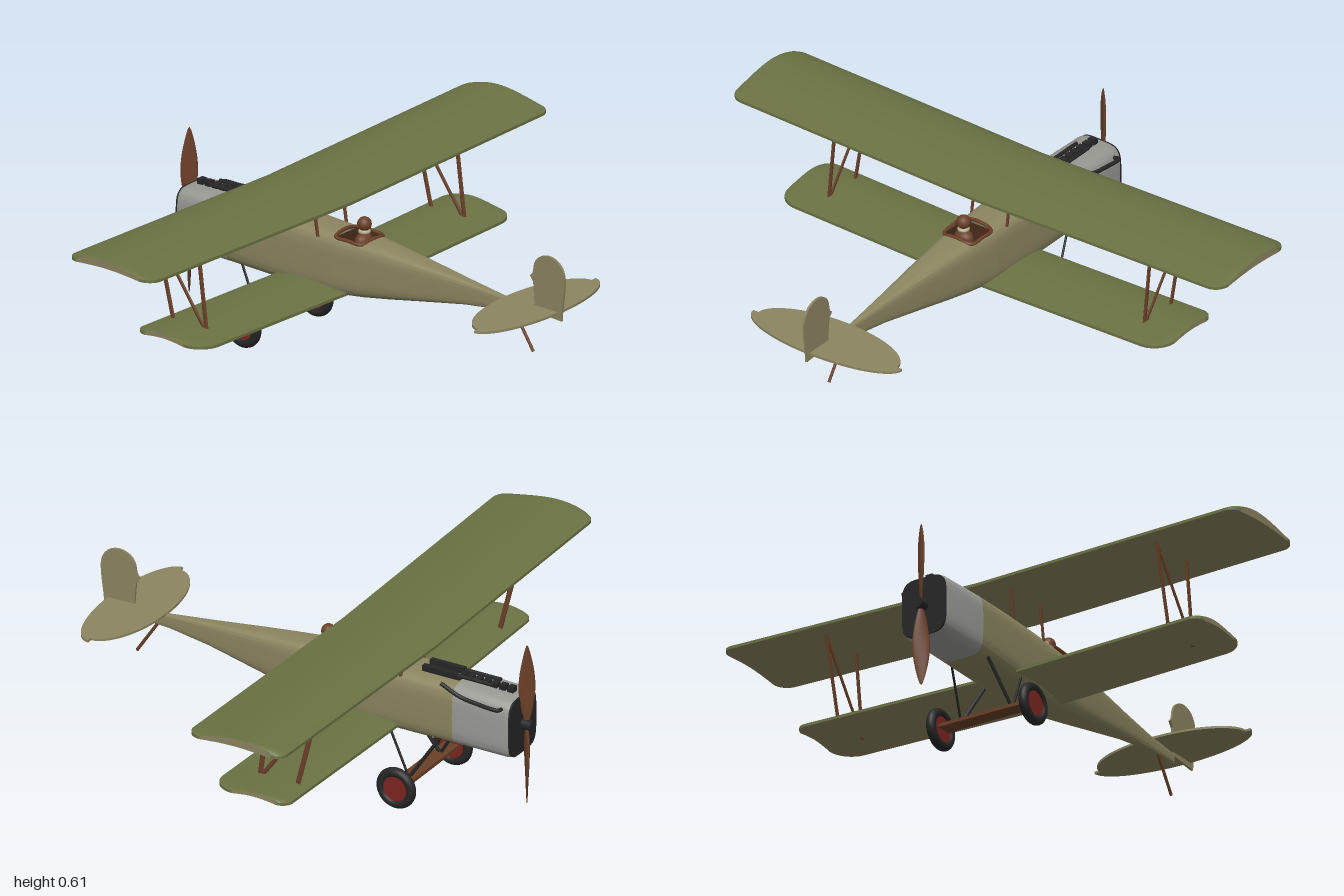
import * as THREE from 'three';
import { toCreasedNormals } from 'three/addons/utils/BufferGeometryUtils.js';

const mat = (color, side = THREE.FrontSide) => new THREE.MeshStandardMaterial({ color, side });
const OLIVE = mat(0x6b7244, THREE.DoubleSide), TAN = mat(0x8b8560, THREE.DoubleSide);
const GREY = mat(0x999994, THREE.DoubleSide), BLACK = mat(0x262626), BROWN = mat(0x6b4028);
const DARK_WOOD = mat(0x4a2c1c, THREE.BackSide), RED = mat(0x7d2420), CREAM = mat(0xb8ae90);
const V = (x, y, z) => new THREE.Vector3(x, y, z);

export function createModel() {
  const root = new THREE.Group();
  const add = (name, geo, material, x = 0, y = 0, z = 0) => {
    const m = new THREE.Mesh(geo, material);
    m.name = name;
    m.position.set(x, y, z);
    root.add(m);
    return m;
  };
  // Straight strut from a to b with separate widths across and along the model
  const rod = (name, a, b, wx, wz, material) => {
    const d = b.clone().sub(a);
    const m = add(name, new THREE.CylinderGeometry(0.5, 0.5, d.length(), 10), material);
    m.position.copy(a).lerp(b, 0.5);
    m.quaternion.setFromUnitVectors(V(0, 1, 0), d.normalize());
    m.scale.set(wx, 1, wz);
  };
  // Sheet of nu by nv quads following f(i, j)
  const grid = (nu, nv, f, crease = 0.6) => {
    const pos = [], idx = [];
    for (let i = 0; i <= nu; i++) for (let j = 0; j <= nv; j++) {
      pos.push(...f(i, j));
      const a = i * (nv + 1) + j, b = a + nv + 1;
      if (i < nu && j < nv) idx.push(a, b, a + 1, b, b + 1, a + 1);
    }
    const g = new THREE.BufferGeometry();
    g.setAttribute('position', new THREE.Float32BufferAttribute(pos, 3));
    g.setIndex(idx);
    return toCreasedNormals(g, crease);
  };

  // Fuselage: rounded-box sections, station = [z, half width, bottom, top], angle 0 at top
  const section = ([z, hw, yb, yt], a) => {
    const s = Math.sin(a), c = Math.cos(a), p = 0.45;
    return [hw * Math.sign(s) * Math.abs(s) ** p,
      (yb + yt) / 2 + (yt - yb) / 2 * Math.sign(c) * Math.abs(c) ** p, z];
  };
  const loft = (name, st, material, open = 0) => add(name, grid(st.length - 1, 64, (i, j) =>
    section(st[i], open + (2 * Math.PI - 2 * open) * j / 64)), material);
  const nose = [-0.77, 0.085, 0.225, 0.43], firewall = [-0.56, 0.089, 0.222, 0.44];
  const cockFront = [-0.12, 0.079, 0.221, 0.435], cockRear = [-0.005, 0.069, 0.236, 0.429];
  const tail = [0.69, 0.004, 0.335, 0.368];
  loft('cowling', [nose, [-0.755, 0.088, 0.222, 0.434], firewall], GREY);
  loft('forwardFuselage', [firewall, [-0.4, 0.088, 0.22, 0.44], [-0.25, 0.084, 0.218, 0.438], cockFront], TAN);
  loft('cockpitSides', [cockFront, cockRear], TAN, 0.6);
  loft('rearFuselage', [cockRear, [0.1, 0.057, 0.254, 0.421], [0.2, 0.046, 0.273, 0.412], [0.4, 0.024, 0.31, 0.392],
    [0.55, 0.01, 0.328, 0.378], tail], TAN);
  add('tailPost', new THREE.BoxGeometry(0.008, 0.033, 0.004), TAN, 0, 0.3515, 0.69);

  // Radiator plate
  const plate = new THREE.Shape();
  for (let i = 0; i < 48; i++) {
    const [x, y] = section(nose, i * Math.PI / 24);
    i ? plate.lineTo(x, y) : plate.moveTo(x, y);
  }
  add('radiator', new THREE.ExtrudeGeometry(plate, { depth: 0.008, bevelEnabled: false }), BLACK, 0, 0, -0.776);

  // Cockpit tub, rim, seat and pilot
  add('cockpitTub', new THREE.BoxGeometry(0.11, 0.1, 0.113), DARK_WOOD, 0, 0.374, -0.0625);
  const rim = new THREE.CatmullRomCurve3([V(-0.058, 0.427, -0.115), V(0, 0.437, -0.122), V(0.058, 0.427, -0.115),
    V(0.062, 0.427, -0.06), V(0.055, 0.424, -0.01), V(0, 0.431, -0.004), V(-0.055, 0.424, -0.01),
    V(-0.062, 0.427, -0.06)], true);
  add('cockpitRim', new THREE.TubeGeometry(rim, 48, 0.006, 8, true), BROWN);
  add('seatBack', new THREE.BoxGeometry(0.08, 0.085, 0.01), BROWN, 0, 0.38, -0.018);
  add('pilotBody', new THREE.CapsuleGeometry(0.026, 0.04, 6, 16), BROWN, 0, 0.395, -0.045).scale.x = 1.35;
  add('pilotScarf', new THREE.TorusGeometry(0.014, 0.007, 8, 20), CREAM, 0, 0.448, -0.042).rotation.x = Math.PI / 2;
  add('pilotHead', new THREE.SphereGeometry(0.024, 20, 14), BROWN, 0, 0.474, -0.042);
  add('pilotFace', new THREE.SphereGeometry(0.018, 16, 12), CREAM, 0, 0.469, -0.05);

  // Wings: cambered profile swept across the span, rounded corners, slight dihedral
  const wing = (name, X, zLead, zTrail, y0, rise, rLead, rTrail, thick) => {
    const n = 16, m = 20, stations = [];
    for (let i = 0; i <= n; i++) {
      const r = Math.max(rLead, rTrail);
      stations.push(X - r + r * Math.sin(i / n * Math.PI / 2));
    }
    const xs = [...stations.map((x) => -x).reverse(), 0, ...stations];
    const inset = (x, r) => {
      const d = Math.max(0, Math.abs(x) - X + r);
      return r - Math.sqrt(Math.max(0, r * r - d * d));
    };
    const at = (x, t, k) => { // t along the chord, k = 0 underside, 1 upper side
      const a = zLead + inset(x, rLead), b = zTrail - inset(x, rTrail);
      const low = 0.008 * Math.sin(Math.PI * t);
      const up = 0.01 + thick * Math.sin(Math.PI * t ** 0.7);
      return [x, y0 + rise * Math.abs(x) / X + low + (up - low) * k, a + (b - a) * t];
    };
    const last = xs.length - 1;
    add(name + 'Top', grid(last, m, (i, j) => at(xs[i], j / m, 1)), OLIVE);
    add(name + 'Underside', grid(last, m, (i, j) => at(xs[last - i], j / m, 0)), TAN);
    add(name + 'LeadingEdge', grid(last, 1, (i, j) => at(xs[i], 0, j)), OLIVE);
    add(name + 'TrailingEdge', grid(last, 1, (i, j) => at(xs[i], 1, 1 - j)), OLIVE);
    add(name + 'LeftTip', grid(m, 1, (i, j) => at(X, i / m, 1 - j)), TAN);
    add(name + 'RightTip', grid(m, 1, (i, j) => at(-X, i / m, j)), TAN);
  };
  wing('upperWing', 1, -0.457, -0.097, 0.525, 0.022, 0.04, 0.05, 0.026);
  wing('lowerWing', 0.785, -0.35, -0.062, 0.235, 0.019, 0.04, 0.08, 0.014);

  // Tailplane with overhanging elevator, and rudder
  const flat = (shape) => new THREE.ExtrudeGeometry(shape, { depth: 0.008, bevelEnabled: false, curveSegments: 32 });
  const stab = new THREE.Shape();
  stab.absellipse(0, 0.688, 0.283, 0.122, Math.PI, 2 * Math.PI);
  add('tailplane', flat(stab).rotateX(Math.PI / 2), TAN, 0, 0.381, 0);
  const elev = new THREE.Shape();
  elev.absellipse(0, 0.686, 0.303, 0.102, 0, Math.PI);
  add('elevator', flat(elev).rotateX(Math.PI / 2), TAN, 0, 0.381, 0);
  const fin = new THREE.Shape();
  fin.moveTo(0.69, 0.36);
  fin.lineTo(0.682, 0.46);
  fin.lineTo(0.669, 0.478);
  fin.bezierCurveTo(0.668, 0.485, 0.68, 0.48, 0.683, 0.51);
  fin.bezierCurveTo(0.69, 0.585, 0.81, 0.585, 0.815, 0.5);
  fin.bezierCurveTo(0.817, 0.45, 0.803, 0.4, 0.802, 0.352);
  add('rudder', flat(fin).rotateY(-Math.PI / 2), TAN, 0.004, 0, 0);
  rod('tailSkid', V(0, 0.335, 0.6), V(0, 0.215, 0.68), 0.01, 0.011, BROWN);

  // Struts, undercarriage legs and wheels on both sides
  for (const s of [1, -1]) {
    const x = 0.643 * s;
    rod('frontWingStrut', V(x, 0.545, -0.378), V(x, 0.255, -0.305), 0.007, 0.018, BROWN);
    rod('rearWingStrut', V(x, 0.55, -0.203), V(x, 0.255, -0.165), 0.007, 0.018, BROWN);
    rod('diagonalWingStrut', V(x, 0.545, -0.378), V(x, 0.255, -0.165), 0.007, 0.014, BROWN);
    for (const z of [-0.375, -0.2])
      rod('centreStrut', V(0.072 * s, 0.54, z), V(0.072 * s, 0.415, z + 0.02), 0.007, 0.014, BROWN);
    for (const z of [-0.31, -0.505])
      rod('landingGearLeg', V(0.07 * s, 0.235, z), V(0.1 * s, 0.078, -0.405), 0.008, 0.013, BLACK);
    const tyre = add('tyre', new THREE.TorusGeometry(0.056, 0.0165, 14, 40), BLACK, 0.18 * s, 0.075, -0.405);
    tyre.rotation.y = Math.PI / 2;
    const hub = add('wheelDisc', new THREE.CylinderGeometry(0.046, 0.046, 0.02, 32), RED, 0.18 * s, 0.075, -0.405);
    hub.rotation.z = Math.PI / 2;

    // Deck gun with its barrel
    add('gunBody', new THREE.BoxGeometry(0.018, 0.026, 0.13), BLACK, 0.024 * s, 0.447, -0.48);
    rod('gunBarrel', V(0.024 * s, 0.452, -0.54), V(0.024 * s, 0.452, -0.68), 0.013, 0.013, BLACK);
  }
  add('axleFairing', new THREE.BoxGeometry(0.34, 0.012, 0.055), BROWN, 0, 0.078, -0.405);

  // Engine cylinder heads along the deck
  for (let i = 0; i < 6; i++)
    add('cylinderHead', new THREE.BoxGeometry(0.026, 0.036, 0.022), BLACK, 0, 0.435, -0.735 + i * 0.031);
  add('gunMount', new THREE.BoxGeometry(0.065, 0.012, 0.012), BLACK, 0, 0.444, -0.55);
  const pipe = new THREE.CatmullRomCurve3([V(0.08, 0.405, -0.742), V(0.103, 0.41, -0.74), V(0.104, 0.415, -0.66),
    V(0.105, 0.425, -0.6), V(0.118, 0.463, -0.535)]);
  add('exhaustPipe', new THREE.TubeGeometry(pipe, 30, 0.007, 10), BLACK);

  // Propeller: twisted, tapered blades on a hub
  const blade = new THREE.SphereGeometry(1, 20, 28), p = blade.attributes.position;
  for (let i = 0; i < p.count; i++) {
    const t = (p.getY(i) + 1) / 2, a = 1 - 0.6 * t;
    const w = p.getX(i) * (0.017 + 0.012 * Math.sin(Math.PI * t)), d = p.getZ(i) * (0.009 - 0.005 * t);
    p.setXYZ(i, w * Math.cos(a) - d * Math.sin(a), 0.288 * t, w * Math.sin(a) + d * Math.cos(a));
  }
  blade.computeVertexNormals();
  for (const turn of [0, Math.PI])
    add('propellerBlade', blade, BROWN, 0, 0.328, -0.791).rotation.z = turn;
  add('propellerHub', new THREE.CylinderGeometry(0.018, 0.018, 0.04, 20), BLACK, 0, 0.328, -0.792).rotation.x = Math.PI / 2;
  return root;
}
